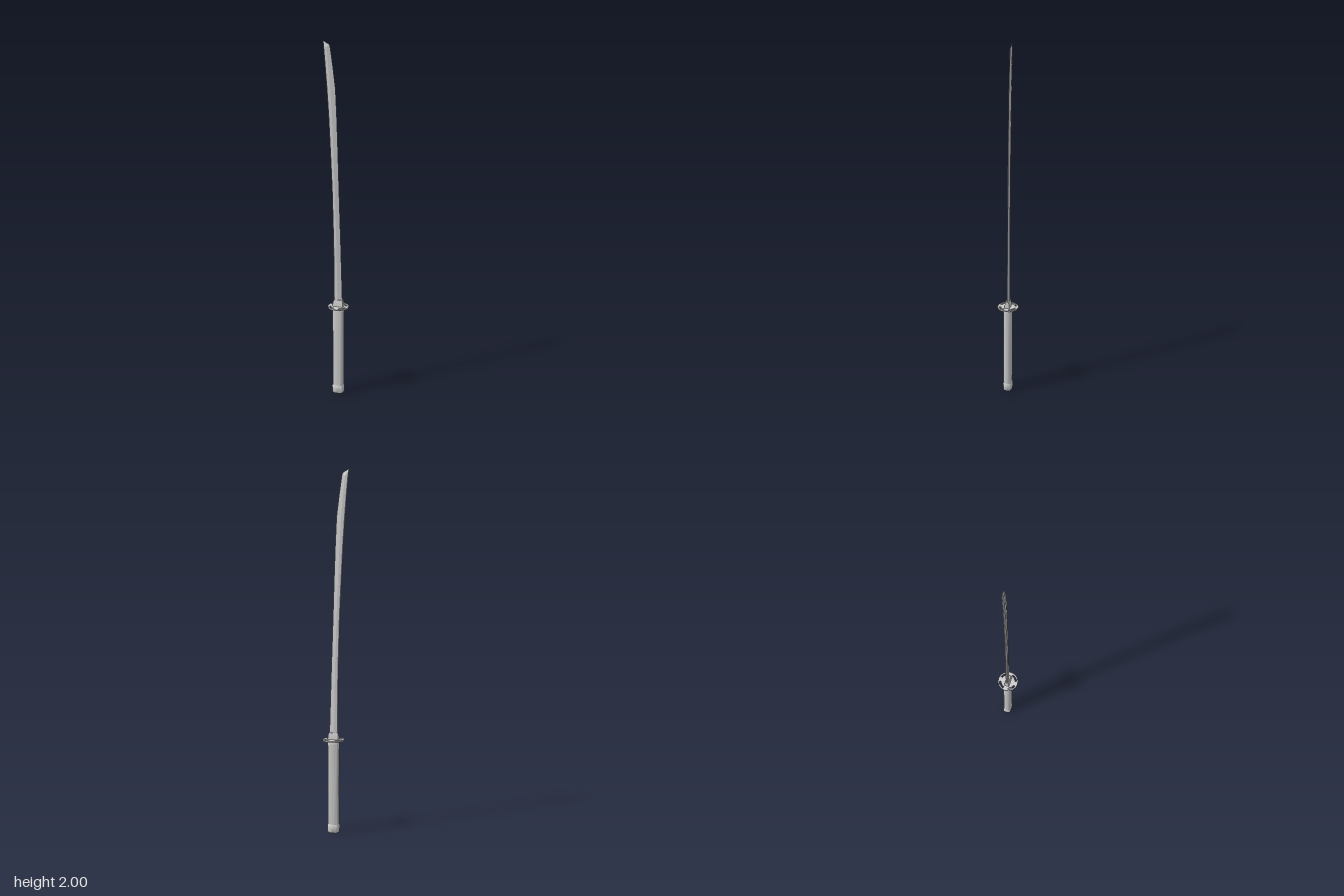
import * as THREE from 'three';
import { toCreasedNormals } from 'three/addons/utils/BufferGeometryUtils.js';

const CX = 0.014; // centre line of the grip and guard
const steel = new THREE.MeshStandardMaterial({ color: 0xcccccc });

// Skin a stack of rings (each counter-clockwise from above) and cap both ends
function loft(rings, crease = 0.6) {
  const n = rings[0].length, pos = rings.flat(2), idx = [];
  for (let i = 0; i < rings.length - 1; i++) {
    for (let j = 0; j < n; j++) {
      const a = i * n + j, b = i * n + (j + 1) % n;
      idx.push(a, b, b + n, a, b + n, a + n);
    }
  }
  const top = (rings.length - 1) * n;
  for (let j = 1; j < n - 1; j++) {
    idx.push(0, j + 1, j, top, top + j, top + j + 1);
  }
  const g = new THREE.BufferGeometry();
  g.setAttribute('position', new THREE.Float32BufferAttribute(pos, 3));
  g.setIndex(idx);
  return toCreasedNormals(g, crease);
}

// Rounded rectangular ring, half sizes rx and rz
function ovalRing(y, rx, rz, power = 0.6, n = 20) {
  const bend = v => Math.sign(v) * Math.abs(v) ** power;
  return Array.from({ length: n }, (_, j) => {
    const t = (j / n) * Math.PI * 2;
    return [CX + rx * bend(Math.cos(t)), y, -rz * bend(Math.sin(t))];
  });
}

// Box-like ring
function boxRing(y, rx, rz) {
  return [[CX + rx, y, rz], [CX + rx, y, -rz], [CX - rx, y, -rz], [CX - rx, y, rz]];
}

// Blade ring: cutting edge on +x, ridge, thick spine on -x
function bladeRing([ySpine, yEdge, spine, edge, t]) {
  const at = (k, z) => [
    THREE.MathUtils.lerp(spine, edge, k), THREE.MathUtils.lerp(ySpine, yEdge, k), z,
  ];
  return [at(1, 0), at(0.45, -t), at(0.06, -t * 0.85), at(0, 0), at(0.06, t * 0.85), at(0.45, t)];
}

// Closed arc-shaped slot between two radii
function arcSlot(r0, r1, a0, a1) {
  const p = new THREE.Path();
  const steps = 3;
  for (let i = 0; i <= steps; i++) {
    const a = a0 + (a1 - a0) * i / steps;
    p[i ? 'lineTo' : 'moveTo'](r1 * Math.cos(a), r1 * Math.sin(a));
  }
  for (let i = steps; i >= 0; i--) {
    const a = a0 + (a1 - a0) * i / steps;
    p.lineTo(r0 * Math.cos(a), r0 * Math.sin(a));
  }
  p.closePath();
  return p;
}

function guardGeometry() {
  const pts = Array.from({ length: 16 }, (_, i) => {
    const a = (i / 16) * Math.PI * 2;
    return new THREE.Vector2(0.059 * Math.cos(a), 0.059 * Math.sin(a));
  });
  const shape = new THREE.Shape(pts);
  for (let q = 0; q < 4; q++) {
    const mid = Math.PI / 4 + q * Math.PI / 2;
    shape.holes.push(arcSlot(0.041, 0.051, mid - 0.48, mid + 0.48));
  }
  const g = new THREE.ExtrudeGeometry(shape, { depth: 0.008, bevelEnabled: false });
  g.rotateX(-Math.PI / 2);
  g.translate(CX, 0.523, 0);
  return g;
}

export function createModel() {
  const model = new THREE.Group();
  model.name = 'sword';
  const add = (name, geometry) => {
    const m = new THREE.Mesh(geometry, steel);
    m.name = name;
    model.add(m);
  };

  // Gently curved blade: spine height, edge height, spine x, edge x, half thickness
  add('blade', loft([
    [0.53, 0.53, -0.011, 0.038, 0.007],
    [0.9, 0.9, -0.014, 0.027, 0.007],
    [1.2, 1.2, -0.022, 0.017, 0.007],
    [1.4, 1.4, -0.031, 0.011, 0.007],
    [1.6, 1.6, -0.041, 0.004, 0.0068],
    [1.75, 1.75, -0.051, -0.003, 0.0065],
    [1.88, 1.87, -0.061, -0.018, 0.0065],
    [1.975, 1.96, -0.069, -0.031, 0.006],
    [2.0, 1.98, -0.071, -0.035, 0.0006],
  ].map(bladeRing), 0.2));

  // Collar where the blade leaves the guard
  add('bladeCollar', loft([
    boxRing(0.53, 0.03, 0.015),
    boxRing(0.548, 0.029, 0.013),
    boxRing(0.568, 0.026, 0.009),
  ], 0.2));

  // Round guard with four curved slots
  add('guard', guardGeometry());

  // Grip with end fittings
  add('grip', loft([
    ovalRing(0.04, 0.031, 0.023),
    ovalRing(0.28, 0.0305, 0.0225),
    ovalRing(0.505, 0.031, 0.023),
  ]));
  add('gripCollar', loft([
    ovalRing(0.498, 0.032, 0.024),
    ovalRing(0.516, 0.032, 0.024),
    ovalRing(0.524, 0.028, 0.02),
  ]));
  add('pommel', loft([
    ovalRing(0, 0.029, 0.021),
    ovalRing(0.006, 0.033, 0.025),
    ovalRing(0.042, 0.034, 0.026),
    ovalRing(0.049, 0.031, 0.023),
  ]));
  return model;
}
